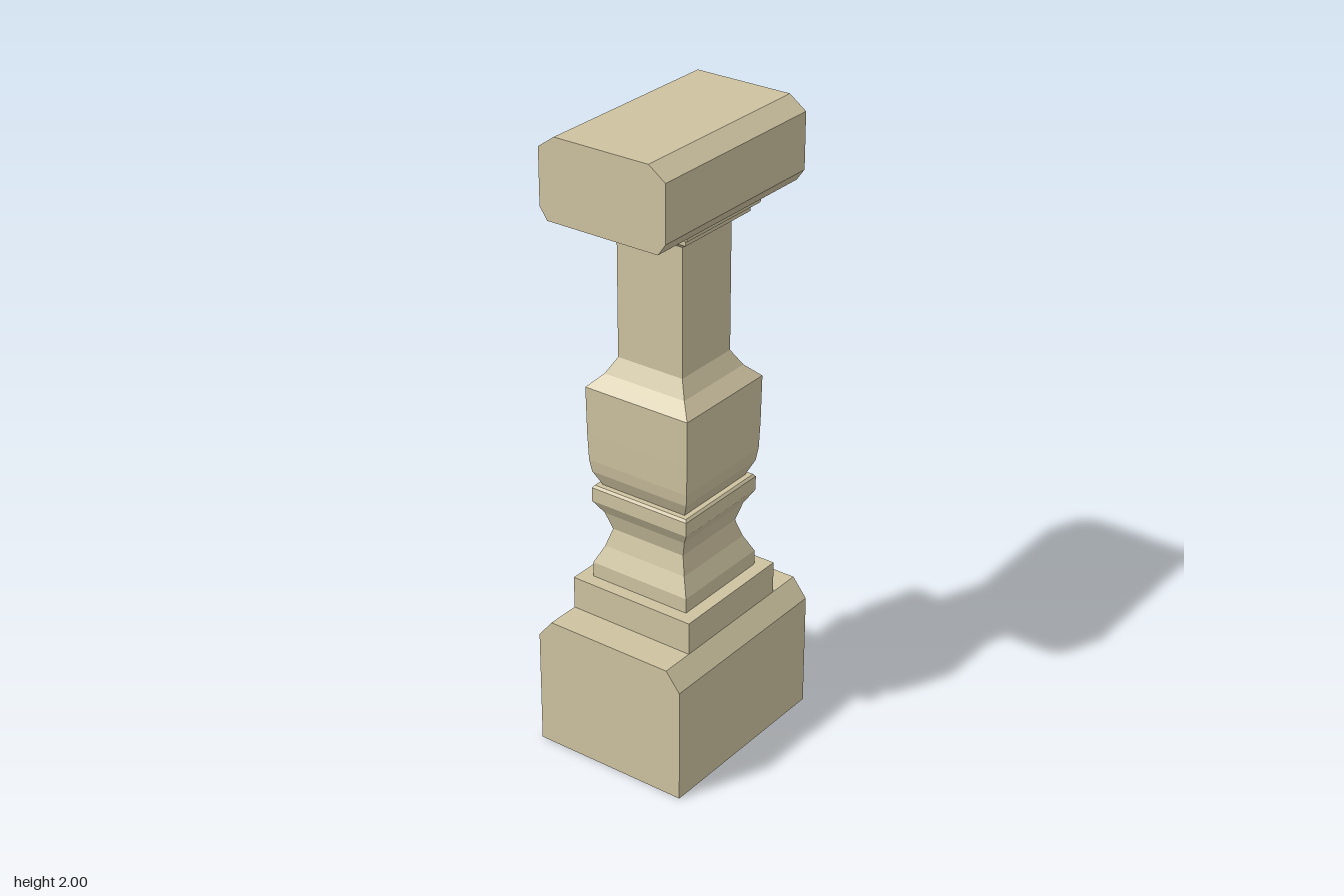
import * as THREE from 'three';

export function createModel() {
  const model = new THREE.Group();
  const stone = new THREE.MeshStandardMaterial({ color: 0xcdc2a0 });
  stone.name = 'sandstone';

  function add(name, geometry) {
    const mesh = new THREE.Mesh(geometry, stone);
    mesh.name = name;
    model.add(mesh);
  }

  // Square turning: profile of [half width, y], bottom to top
  function square(name, profile) {
    const points = profile.map(([h, y]) => new THREE.Vector2(h * Math.SQRT2, y));
    const geo = new THREE.LatheGeometry(points, 4, Math.PI / 4).toNonIndexed();
    geo.computeVertexNormals();
    add(name, geo);
  }

  // Bevelled block: half outline of [half depth, y], mirrored in z and extruded along x
  function block(name, half, width) {
    const right = half.map(([z, y]) => new THREE.Vector2(z, y));
    const left = half.map(([z, y]) => new THREE.Vector2(-z, y)).reverse();
    const geo = new THREE.ExtrudeGeometry(new THREE.Shape([...right, ...left]), {
      depth: width, bevelEnabled: false,
    });
    geo.translate(0, 0, -width / 2).rotateY(Math.PI / 2);
    add(name, geo);
  }

  // Bottom rail and the plinth on it
  block('bottomRail', [[0.263, 0], [0.263, 0.375], [0.215, 0.435]], 0.65);
  square('plinth', [[0, 0.435], [0.215, 0.435], [0.215, 0.54], [0, 0.54]]);

  // Waisted foot with a square collar
  square('foot', [
    [0.173, 0.54], [0.173, 0.588], [0.147, 0.643], [0.13, 0.7], [0.147, 0.757],
    [0.173, 0.8], [0.173, 0.845], [0.167, 0.853], [0, 0.853],
  ]);

  // Swelling belly, sloping shoulder and straight shaft
  square('belly', [
    [0.15, 0.853], [0.172, 0.9], [0.178, 0.94], [0.181, 1.03], [0.183, 1.18],
  ]);
  square('shoulder', [[0.183, 1.18], [0.143, 1.22], [0.115, 1.27]]);
  square('shaft', [[0.115, 1.27], [0.115, 1.675]]);

  // Stepped neck moulding
  square('neckMoulding', [
    [0.115, 1.675], [0.153, 1.702], [0.153, 1.727], [0.173, 1.727], [0.173, 1.748],
  ]);

  // Top rail
  block('topRail', [[0.19, 1.748], [0.216, 1.785], [0.216, 1.96], [0.16, 2]], 0.65);

  return model;
}
